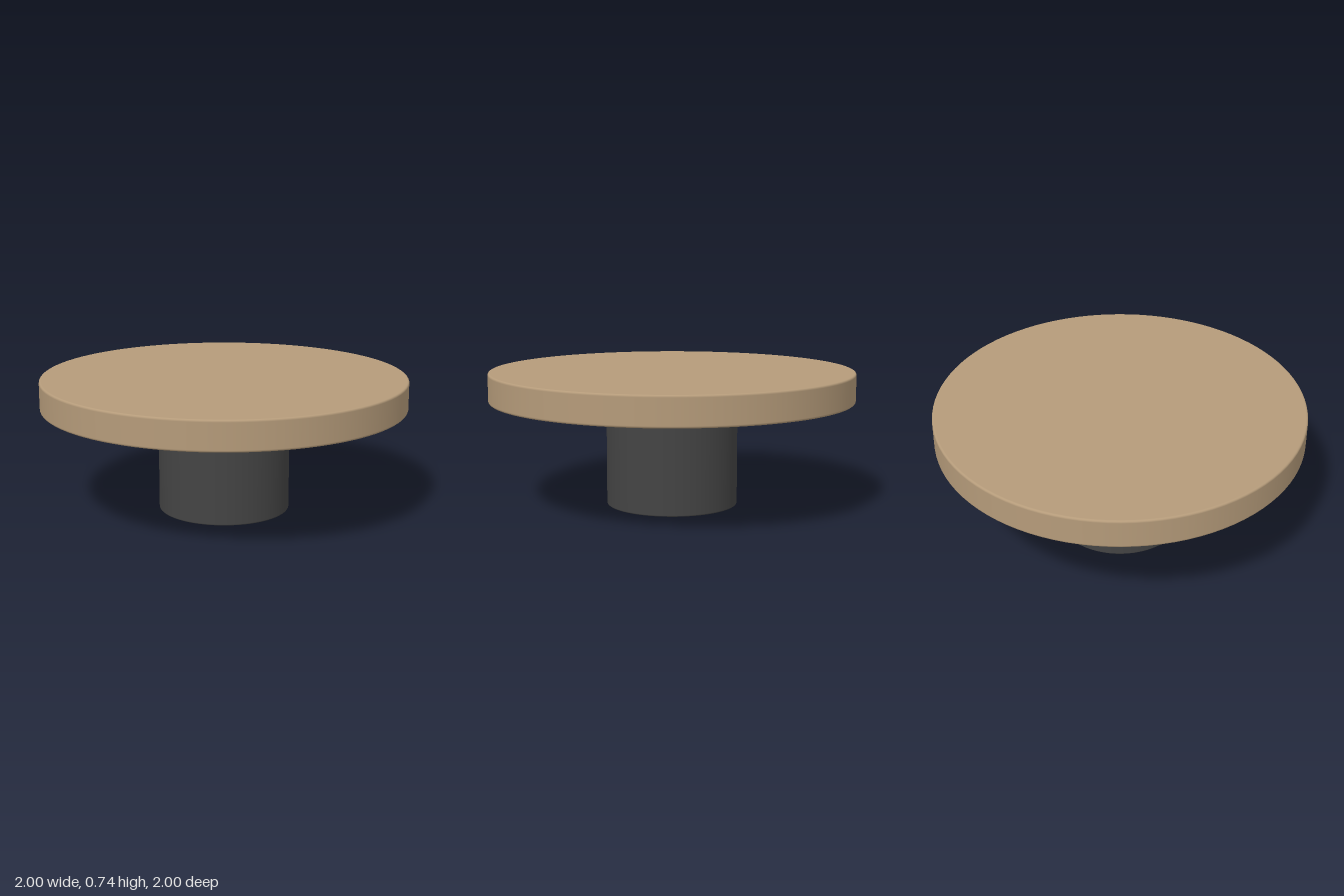
import * as THREE from 'three';

// Solid disc with softly rounded rims; thin support rings keep the flats flat
function roundedDisc(radius, y0, y1, bevel, segments) {
  const pts = [new THREE.Vector2(0, y0), new THREE.Vector2(radius - bevel - 0.002, y0)];
  const steps = 4;
  const arc = (cy, start) => {
    for (let i = 0; i <= steps; i++) {
      const a = start + (i / steps) * Math.PI / 2;
      pts.push(new THREE.Vector2(radius - bevel + Math.cos(a) * bevel, cy + Math.sin(a) * bevel));
    }
  };
  arc(y0 + bevel, -Math.PI / 2);
  pts.push(new THREE.Vector2(radius, y0 + bevel + 0.002), new THREE.Vector2(radius, y1 - bevel - 0.002));
  arc(y1 - bevel, 0);
  pts.push(new THREE.Vector2(radius - bevel - 0.002, y1), new THREE.Vector2(0, y1));
  return new THREE.LatheGeometry(pts, segments);
}

export function createModel() {
  const wood = new THREE.MeshStandardMaterial({ color: 0xb59b7a });
  wood.name = 'tan wood';
  const dark = new THREE.MeshStandardMaterial({ color: 0x444444 });
  dark.name = 'charcoal';

  const group = new THREE.Group();
  group.name = 'roundTable';

  // Round table top
  const top = new THREE.Mesh(roundedDisc(1, 0.58, 0.74, 0.01, 96), wood);
  top.name = 'tableTop';

  // Drum pedestal
  const base = new THREE.Mesh(roundedDisc(0.36, 0, 0.58, 0.006, 64), dark);
  base.name = 'pedestal';

  group.add(top, base);
  return group;
}
